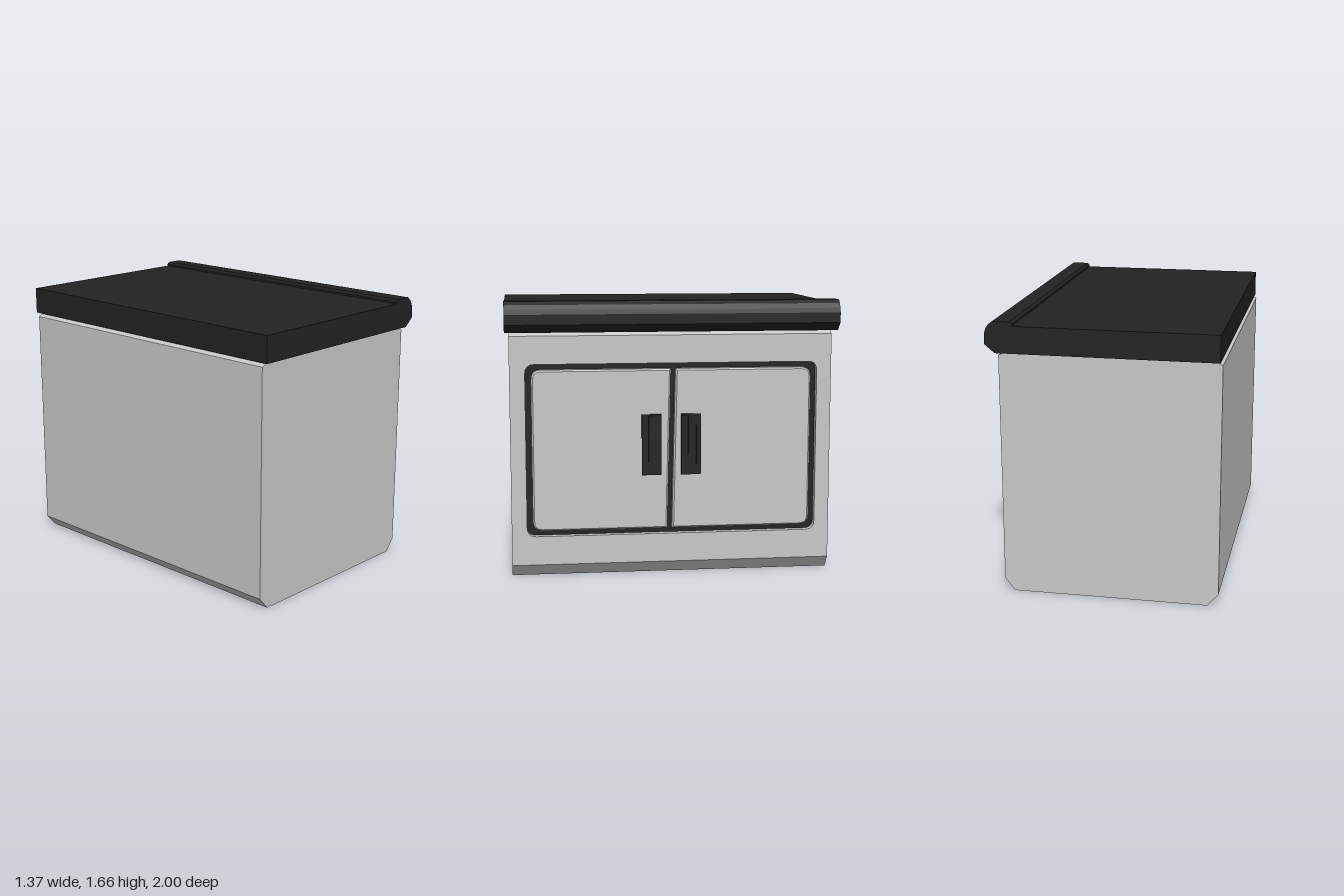
import * as THREE from 'three';

const metal = new THREE.MeshStandardMaterial({ color: 0xc8c8c8 });
metal.name = 'lightGrey';
const black = new THREE.MeshStandardMaterial({ color: 0x222222 });
black.name = 'black';

const polygon = pts => new THREE.Shape(pts.map(p => new THREE.Vector2(...p)));

// Closed outline with each corner [x, y, radius] rounded
function rounded(Type, pts) {
  const path = new Type();
  pts.forEach(([x, y, r], i) => {
    const c = new THREE.Vector2(x, y);
    const toward = q => c.clone().add(new THREE.Vector2(q[0] - x, q[1] - y).setLength(r));
    const a = toward(pts[(i + pts.length - 1) % pts.length]);
    const b = toward(pts[(i + 1) % pts.length]);
    if (i === 0) path.moveTo(a.x, a.y); else path.lineTo(a.x, a.y);
    if (r > 0) path.quadraticCurveTo(x, y, b.x, b.y);
  });
  path.closePath();
  return path;
}

const extrude = (shape, depth, bevel = 0) => new THREE.ExtrudeGeometry(shape, {
  depth, curveSegments: 5, bevelEnabled: bevel > 0,
  bevelSize: bevel, bevelThickness: bevel, bevelOffset: -bevel, bevelSegments: 1,
});

function add(parent, name, geometry, material, x = 0, y = 0, z = 0) {
  const mesh = new THREE.Mesh(geometry, material);
  mesh.name = name;
  mesh.position.set(x, y, z);
  parent.add(mesh);
  return mesh;
}

export function createModel() {
  const group = new THREE.Group();
  group.name = 'cabinet';

  // Cabinet body: side profile swept along z, with a seat for the door frame
  const body = polygon([
    [-0.62, 0], [0.55, 0], [0.61, 0.075], [0.565, 0.075], [0.565, 1.46],
    [0.61, 1.46], [0.565, 1.482], [-0.64, 1.482], [-0.685, 1.46], [-0.685, 0.075],
  ]);
  add(group, 'body', extrude(body, 1.94), metal, 0, 0, -0.965);

  // Worktop with a rolled, raised front edge
  const top = polygon([
    [-0.675, 1.48], [0.62, 1.48], [0.68, 1.53], [0.68, 1.59], [0.672, 1.618],
    [0.655, 1.645], [0.63, 1.665], [0.53, 1.665], [0.515, 1.652], [0.515, 1.64], [-0.675, 1.64],
  ]);
  add(group, 'worktop', extrude(top, 2), black, 0, 0, -1);

  // Door side, drawn flat and turned to face +x (drawing x = -z)
  const front = new THREE.Group();
  front.name = 'doorSide';
  front.rotation.y = Math.PI / 2;
  front.position.x = 0.565;
  group.add(front);

  const frame = polygon([[-0.975, 0.075], [0.965, 0.075], [0.965, 1.46], [-0.975, 1.46]]);
  frame.holes.push(rounded(THREE.Path, [
    [-0.883, 0.25, 0.055], [-0.883, 1.292, 0.055], [0.877, 1.292, 0.055], [0.877, 0.25, 0.055],
  ]));
  add(front, 'doorFrame', extrude(frame, 0.045), metal);
  add(front, 'recessFloor', new THREE.BoxGeometry(1.8, 1.08, 0.006), black, 0, 0.77, 0.002);

  // Two doors with a slightly slanted gap between them
  const doors = {
    leftDoor: [[-0.848, 0.283, 0.06], [-0.034, 0.283, 0], [-0.013, 1.258, 0], [-0.848, 1.258, 0.06]],
    rightDoor: [[-0.006, 0.283, 0], [0.84, 0.283, 0.06], [0.84, 1.258, 0.06], [0.015, 1.258, 0]],
  };
  for (const [name, corners] of Object.entries(doors)) {
    add(front, name, extrude(rounded(THREE.Shape, corners), 0.038, 0.01), metal);
  }

  // Ribbed handles
  for (const [name, u] of [['leftHandle', -0.131], ['rightHandle', 0.108]]) {
    const handle = new THREE.Group();
    handle.name = name;
    handle.position.set(u, 0.8, 0.048);
    front.add(handle);
    add(handle, 'handlePlate', new THREE.BoxGeometry(0.118, 0.37, 0.01), black, 0, 0, 0.005);
    for (const x of [-0.045, 0, 0.045]) {
      add(handle, 'handleRib', new THREE.BoxGeometry(x ? 0.028 : 0.036, 0.355, 0.01), black, x, 0, 0.012);
    }
  }

  return group;
}
